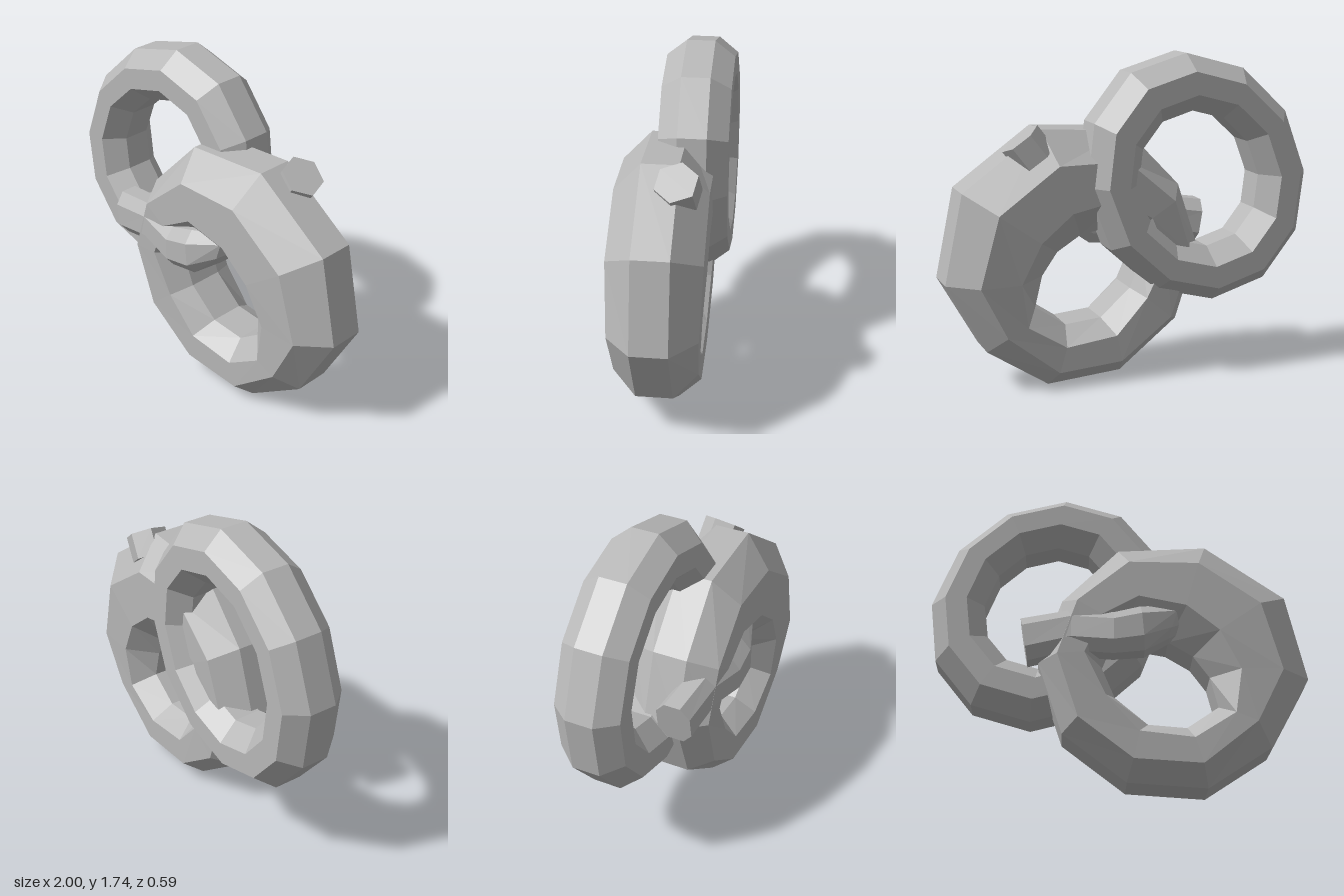
import * as THREE from 'three';

const grey = new THREE.MeshStandardMaterial({ color: 0xb8b8b8, flatShading: true });
grey.name = 'plain grey';

// Skin a list of cross-sections (each a loop of [x, y, z]) with flat quads
function skin(name, rings, closed) {
  const pos = [];
  const n = rings[0].length;
  const tri = (...pts) => pts.forEach((p) => pos.push(...p));
  const last = closed ? rings.length : rings.length - 1;
  for (let i = 0; i < last; i++) {
    const r = rings[i], s = rings[(i + 1) % rings.length];
    for (let j = 0; j < n; j++) {
      const k = (j + 1) % n;
      tri(r[j], s[j], s[k]);
      tri(r[j], s[k], r[k]);
    }
  }
  if (!closed) {
    const e = rings[rings.length - 1];
    for (let j = 1; j < n - 1; j++) {
      tri(rings[0][0], rings[0][j], rings[0][j + 1]);
      tri(e[0], e[j + 1], e[j]);
    }
  }
  const geo = new THREE.BufferGeometry();
  geo.setAttribute('position', new THREE.Float32BufferAttribute(pos, 3));
  geo.computeVertexNormals();
  const mesh = new THREE.Mesh(geo, grey);
  mesh.name = name;
  return mesh;
}

// Eight-sided section from four outlines: outer, front outer, front inner, inner
function section(o, fo, fi, inn, zc, half, flat) {
  return [
    [...o, zc - flat], [...o, zc + flat], [...fo, zc + half], [...fi, zc + half],
    [...inn, zc + flat], [...inn, zc - flat], [...fi, zc - half], [...fo, zc - half],
  ];
}

export function createModel() {
  const model = new THREE.Group();
  model.name = 'linkedRings';

  // Slim ring: half an outline, repeated through its centre
  const c = [-0.365, 1.07];
  const halfLoop = [[0.085, 0.67], [-0.245, 0.58], [-0.505, 0.34], [-0.635, 0], [-0.595, -0.33], [-0.395, -0.58]];
  const loop = [...halfLoop, ...halfLoop.map(([x, y]) => [-x, -y])];
  const slim = loop.map(([x, y]) => {
    const at = (s) => [c[0] + x * s, c[1] + y * s];
    return section(at(1), at(0.87), at(0.69), at(0.55), -0.12, 0.18, 0.075);
  });
  model.add(skin('slimRing', slim, true));

  // Thick ring: heavy at the top right, thinner toward the lower left
  const outer = [[0.46, 0.0], [0.79, 0.22], [1.0, 0.6], [0.9, 1.07], [0.48, 1.37],
    [0.01, 1.34], [-0.29, 1.03], [-0.41, 0.67], [-0.28, 0.28], [0.05, 0.025]];
  const frontOuter = [[0.43, 0.095], [0.71, 0.32], [0.85, 0.6], [0.75, 0.97], [0.43, 1.2],
    [0.06, 1.2], [-0.21, 0.97], [-0.31, 0.67], [-0.2, 0.33], [0.08, 0.115]];
  const frontInner = [[0.39, 0.23], [0.6, 0.365], [0.635, 0.6], [0.53, 0.81], [0.36, 0.95],
    [0.11, 1.0], [-0.08, 0.89], [-0.17, 0.68], [-0.06, 0.45], [0.11, 0.26]];
  const inner = [[0.36, 0.32], [0.525, 0.435], [0.485, 0.6], [0.4, 0.72], [0.27, 0.8],
    [0.1, 0.83], [-0.03, 0.78], [-0.08, 0.65], [-0.01, 0.48], [0.16, 0.335]];
  const thick = outer.map((o, i) => {
    const half = 0.21 + 0.03 * Math.min(1, o[1]);
    return section(o, frontOuter[i], frontInner[i], inner[i], 0.01, half, 0.095);
  });
  model.add(skin('thickRing', thick, true));

  // Curved strap across the front, running into the thick ring: x, y, z, scale, lean
  const path = [[-0.485, 0.775, 0.125, 1, -0.02], [-0.24, 0.82, 0.155, 0.96, 0], [-0.02, 0.79, 0.195, 0.97, 0],
    [0.13, 0.82, 0.185, 1.05, -0.01], [0.3, 0.885, 0.14, 0.8, 0.03], [0.4, 0.95, 0.06, 0.55, 0.02]];
  const profile = [[-0.06, 0.095], [0.06, 0.095], [0.12, 0.045], [0.12, -0.045],
    [0.06, -0.095], [-0.06, -0.095], [-0.12, -0.045], [-0.12, 0.045]];
  const strap = path.map(([x, y, z, s, lean]) =>
    profile.map(([dy, dz]) => [x + (lean * dy) / 0.12, y + dy * s, z + dz * s]));
  model.add(skin('strap', strap, false));

  // Small hexagonal stud on the shoulder of the thick ring
  const stud = new THREE.Mesh(new THREE.CylinderGeometry(0.112, 0.112, 0.14, 6), grey);
  stud.name = 'stud';
  const axis = new THREE.Vector3(0.59, 0.8, 0.1).normalize();
  stud.quaternion.setFromUnitVectors(new THREE.Vector3(0, 1, 0), axis);
  stud.rotateY(0.3);
  stud.position.set(0.59, 1.33, -0.08).addScaledVector(axis, -0.07);
  model.add(stud);

  return model;
}
